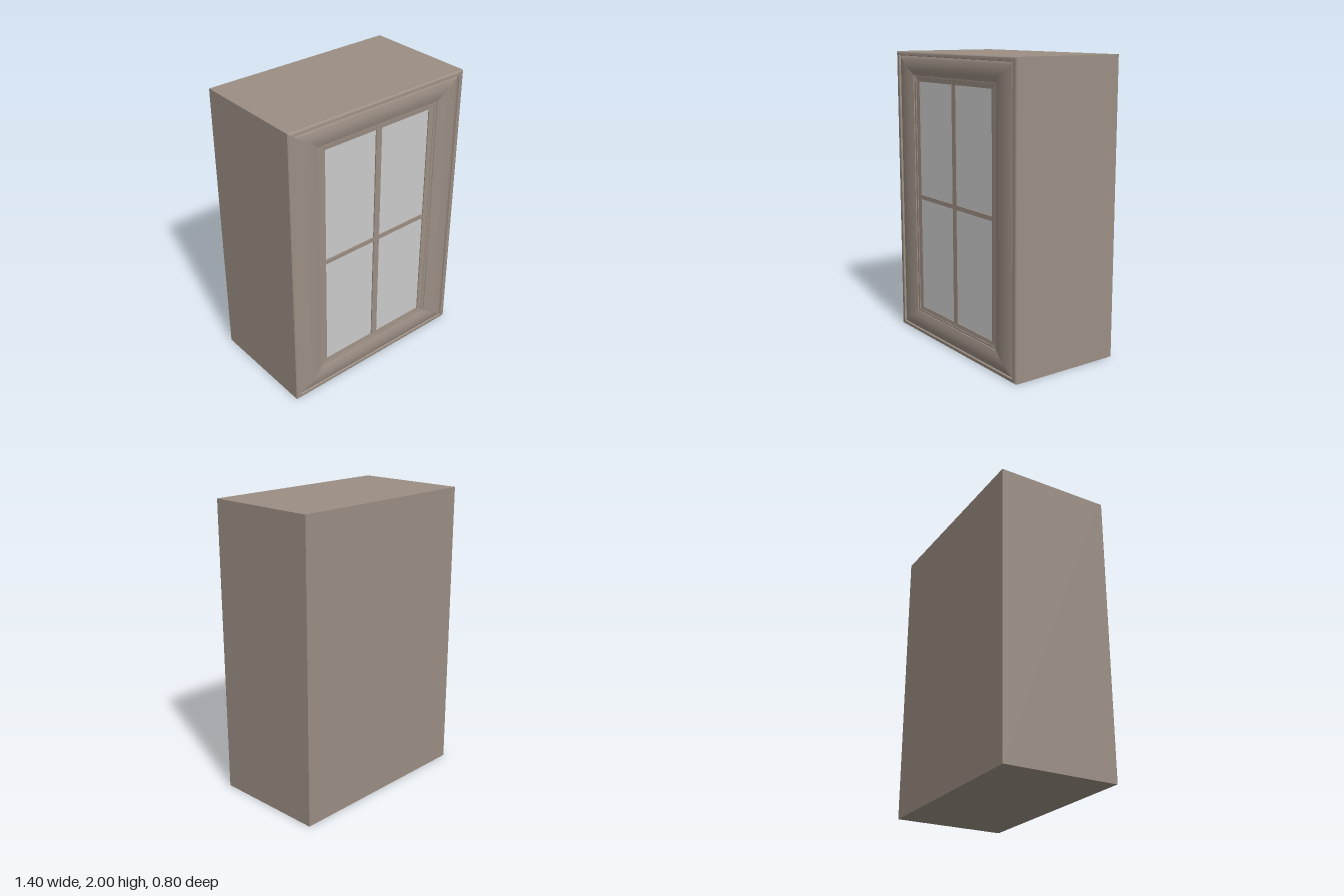
import * as THREE from 'three';

const W = 0.7, H = 1, MID = 1;      // half width, half height, centre height
const RATIO = 0.72;                 // rails are slimmer than stiles

const wood = new THREE.MeshStandardMaterial({ color: 0x9c8f84 });
const pane = new THREE.MeshStandardMaterial({ color: 0xcccccc });

function box(name, material, w, h, d, x, y, z) {
  const mesh = new THREE.Mesh(new THREE.BoxGeometry(w, h, d), material);
  mesh.name = name;
  mesh.position.set(x, y, z);
  return mesh;
}

// One mitred member per side: a profile of [inset, z] swept between two corners.
function mitredFrame(name, profile) {
  const group = new THREE.Group();
  group.name = name;
  const corners = [[-1, -1], [1, -1], [1, 1], [-1, 1]];
  const names = ['bottomRail', 'leftStile', 'topRail', 'rightStile'];
  names.forEach((part, i) => {
    const a = corners[i], b = corners[(i + 1) % 4];
    const positions = [], index = [];
    for (const [inset, z] of profile) {
      for (const c of [a, b]) {
        positions.push(c[0] * (W - inset), MID + c[1] * (H - inset * RATIO), z);
      }
    }
    for (let k = 0; k < profile.length - 1; k++) {
      const p = 2 * k;
      index.push(p, p + 1, p + 3, p, p + 3, p + 2);
    }
    const geometry = new THREE.BufferGeometry();
    geometry.setAttribute('position', new THREE.Float32BufferAttribute(positions, 3));
    geometry.setIndex(index);
    geometry.computeVertexNormals();
    const mesh = new THREE.Mesh(geometry, wood);
    mesh.name = part;
    group.add(mesh);
  });
  return group;
}

export function createModel() {
  const model = new THREE.Group();
  model.name = 'wallCabinet';

  // Closed cabinet body
  model.add(box('carcass', wood, 2 * W, 2 * H, 0.76, 0, MID, -0.02));

  // Door: rounded outer lip, gently domed face, stepped inner bead
  const door = new THREE.Group();
  door.name = 'door';
  door.add(mitredFrame('outerLip', [[0, 0.36], [0, 0.388]]));
  door.add(mitredFrame('lipFace', [[0, 0.388], [0.004, 0.394], [0.012, 0.398], [0.036, 0.398]]));
  door.add(mitredFrame('lipStep', [[0.036, 0.398], [0.04, 0.386]]));
  const dome = [];
  for (let i = 0; i <= 12; i++) {
    const t = i / 12;
    dome.push([0.04 + 0.175 * t, 0.386 + 0.014 * Math.sin(Math.PI * (0.08 + 0.84 * t))]);
  }
  dome[0][1] = 0.386;
  door.add(mitredFrame('domedFace', dome));
  const end = dome[dome.length - 1];
  door.add(mitredFrame('innerStep', [end, [0.217, 0.384]]));
  door.add(mitredFrame('beadFace', [[0.217, 0.384], [0.235, 0.384]]));
  door.add(mitredFrame('beadStep', [[0.235, 0.384], [0.237, 0.38]]));
  door.add(mitredFrame('glassStop', [[0.237, 0.38], [0.275, 0.378]]));
  door.add(mitredFrame('glassRebate', [[0.275, 0.378], [0.275, 0.36]]));

  // Glazing and crossed bars
  const glassW = 2 * (W - 0.275), glassH = 2 * (H - 0.275 * RATIO);
  door.add(box('glass', pane, glassW, glassH, 0.01, 0, MID, 0.366));
  door.add(box('verticalBar', wood, 0.045, glassH, 0.018, 0, MID, 0.37));
  door.add(box('horizontalBar', wood, glassW, 0.03, 0.0176, 0, MID, 0.37));
  model.add(door);

  return model;
}
